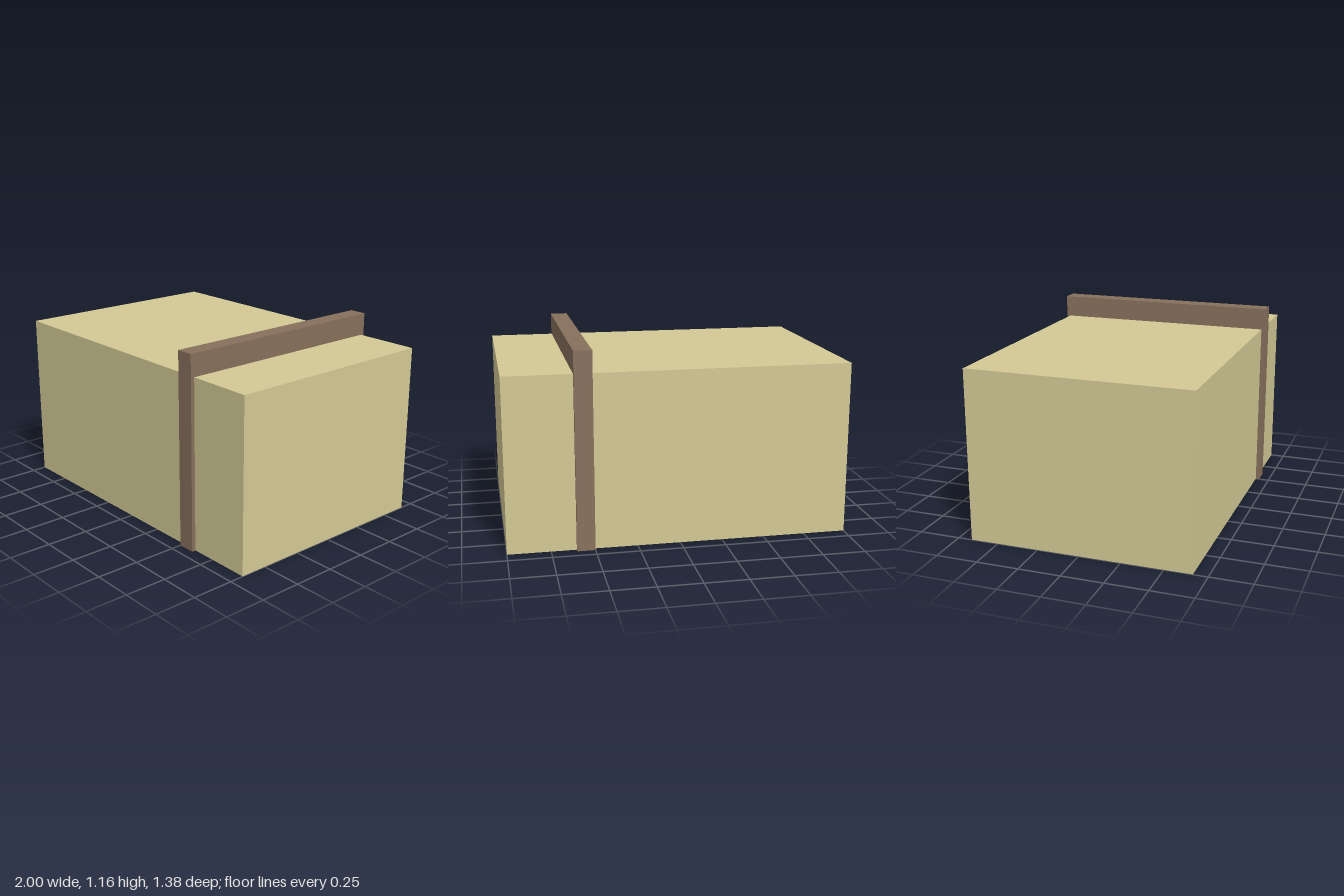
import * as THREE from 'three';

// Box standing at height y0, centred on z, spanning x0..x1
function block(name, color, x0, x1, y0, y1, depth) {
  const mesh = new THREE.Mesh(
    new THREE.BoxGeometry(x1 - x0, y1 - y0, depth),
    new THREE.MeshStandardMaterial({ color })
  );
  mesh.name = name;
  mesh.position.set((x0 + x1) / 2, (y0 + y1) / 2, 0);
  return mesh;
}

export function createModel() {
  const group = new THREE.Group();
  group.name = 'bandedBlock';

  // Main block, raised a hair so the band shows cleanly underneath
  group.add(block('mainBlock', 0xd3c994, -1, 1, 0.001, 1.025, 1.33));

  // Dividing band, standing proud of the top, front and back
  group.add(block('dividingBand', 0x87705c, 0.5, 0.605, 0, 1.157, 1.376));

  return group;
}
